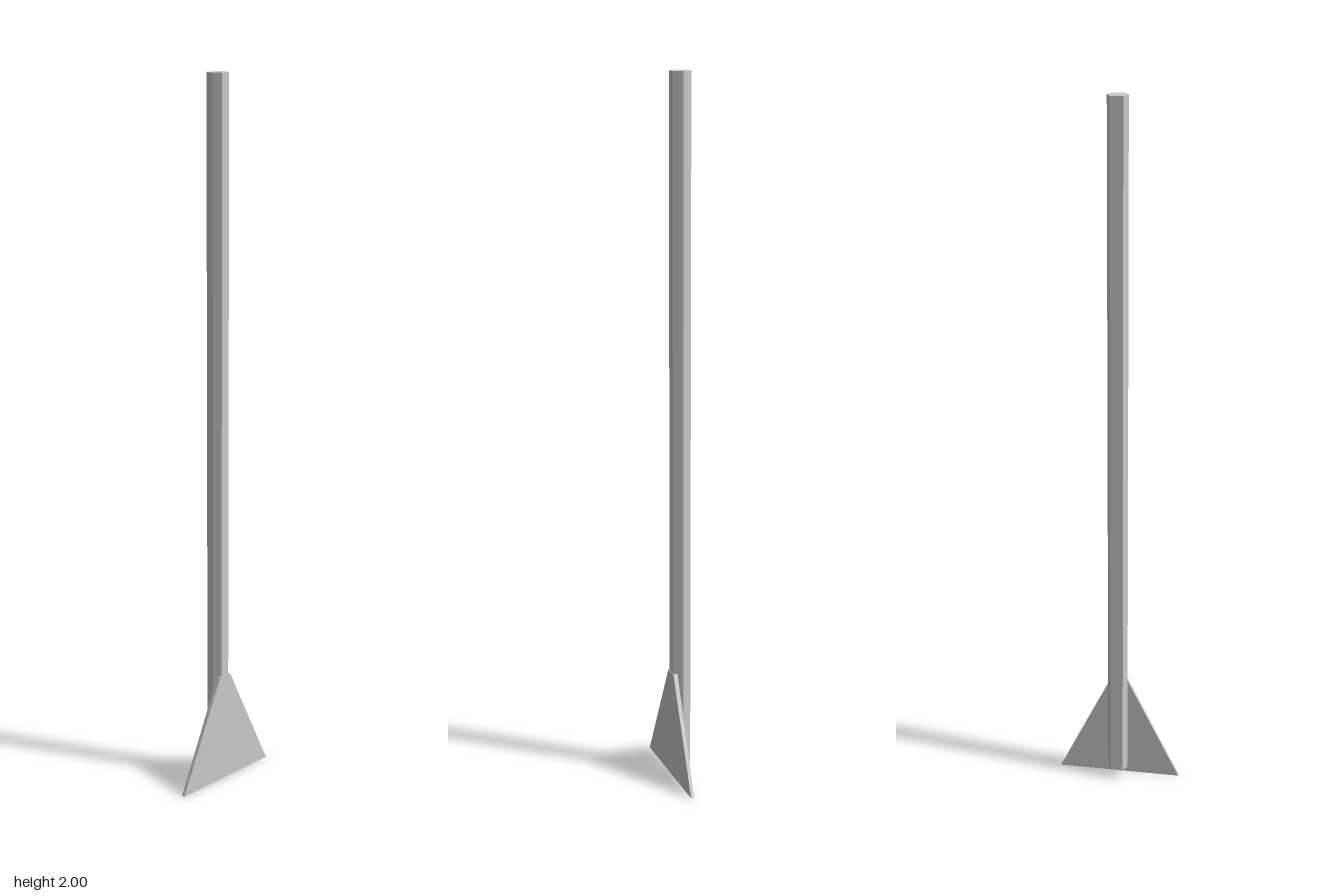
import * as THREE from 'three';

const material = () => new THREE.MeshStandardMaterial({ color: 0xcccccc, flatShading: true });

// Straight extrusion of a polygon outline
function prism(points, depth) {
  const shape = new THREE.Shape(points.map(([x, y]) => new THREE.Vector2(x, y)));
  return new THREE.ExtrudeGeometry(shape, { depth, bevelEnabled: false });
}

export function createModel() {
  const group = new THREE.Group();

  // Faceted shaft: outline in (x, -z), raised along y
  const outline = [
    [-0.014, -0.022], [0.014, -0.022], [0.029, 0.002], [0.029, 0.007],
    [0.018, 0.029], [-0.018, 0.029], [-0.027, 0.012], [-0.027, -0.001],
  ];
  const shaftGeometry = prism(outline, 1.97);
  shaftGeometry.rotateX(-Math.PI / 2);
  shaftGeometry.translate(0, 0.03, 0);
  const shaft = new THREE.Mesh(shaftGeometry, material());
  shaft.name = 'shaft';
  group.add(shaft);

  // Flared blade: a thin trapezoid leaning back towards its top
  const height = 0.313;
  const bladeGeometry = prism([[-0.176, 0], [0.176, 0], [0.021, height], [-0.021, height]], 1);
  const p = bladeGeometry.attributes.position;
  for (let i = 0; i < p.count; i++) {
    const t = p.getY(i) / height;
    const back = THREE.MathUtils.lerp(0.018, 0.011, t);
    const front = THREE.MathUtils.lerp(0.027, 0.0235, t);
    p.setZ(i, p.getZ(i) > 0.5 ? front : back);
  }
  bladeGeometry.computeVertexNormals();
  const blade = new THREE.Mesh(bladeGeometry, material());
  blade.name = 'blade';
  group.add(blade);

  return group;
}
